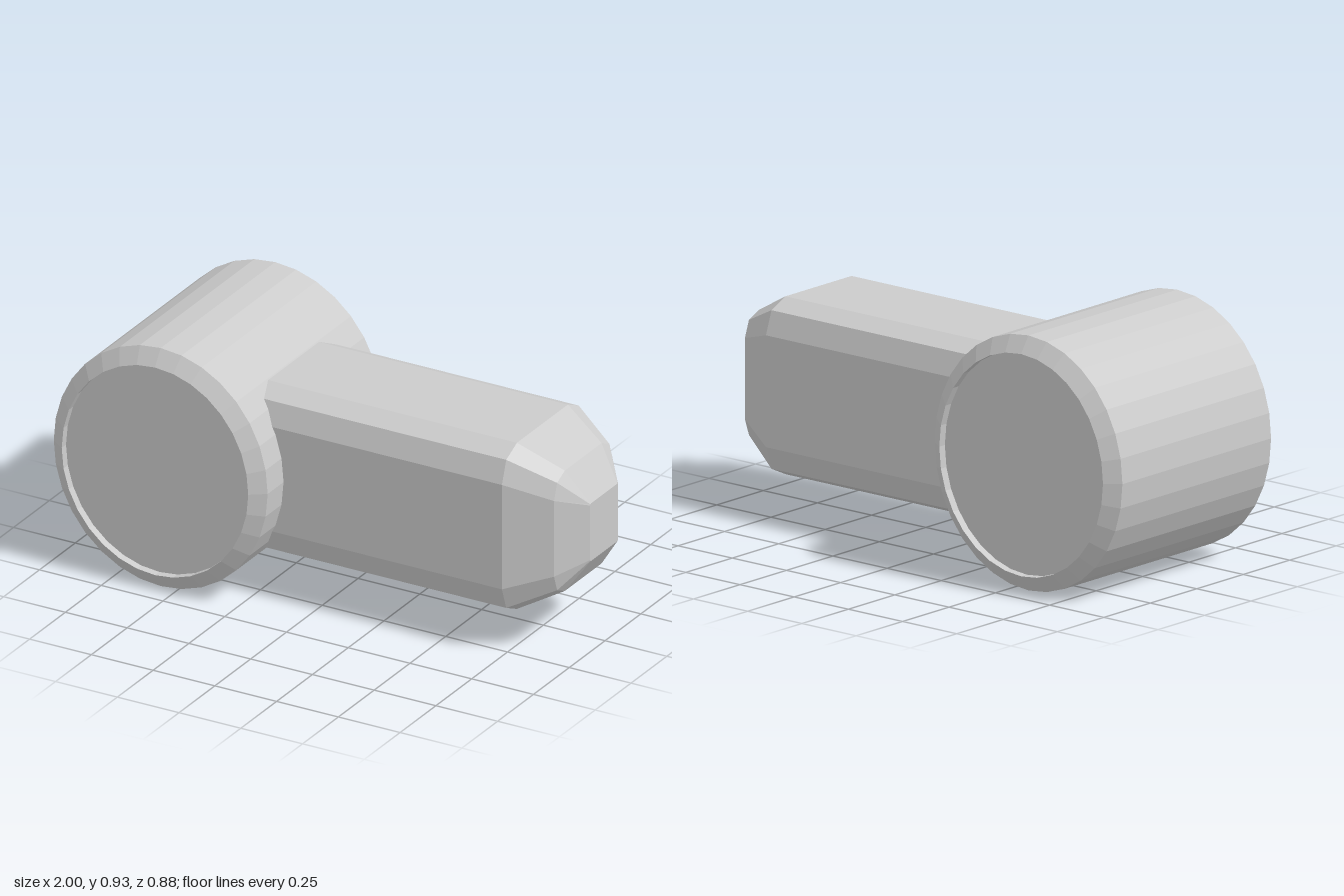
import * as THREE from 'three';

const material = new THREE.MeshStandardMaterial({ color: 0xcccccc, flatShading: true });

// Twelve-point rectangle with two-step corners, from three corner points [z, y], counterclockwise seen from +x
function ring(x, corner) {
  const back = [...corner].reverse();
  const points = [
    ...corner.map(([z, y]) => [z, y]),
    ...back.map(([z, y]) => [z, -y]),
    ...corner.map(([z, y]) => [-z, -y]),
    ...back.map(([z, y]) => [-z, y]),
  ];
  return points.map(([z, y]) => new THREE.Vector3(x, y, z));
}

// Closed loft through the rings, capped at both ends
function loft(rings) {
  const out = [];
  const tri = (...points) => points.forEach((p) => out.push(p.x, p.y, p.z));
  const n = rings[0].length;
  for (let j = 0; j < n; j++) {
    const k = (j + 1) % n;
    for (let i = 0; i < rings.length - 1; i++) {
      const [a, b, c, d] = [rings[i][j], rings[i][k], rings[i + 1][k], rings[i + 1][j]];
      tri(a, b, d);
      tri(b, c, d);
    }
    const first = rings[0], last = rings[rings.length - 1];
    tri(new THREE.Vector3(first[0].x, 0, 0), first[k], first[j]);
    tri(new THREE.Vector3(last[0].x, 0, 0), last[j], last[k]);
  }
  const geometry = new THREE.BufferGeometry();
  geometry.setAttribute('position', new THREE.Float32BufferAttribute(out, 3));
  geometry.computeVertexNormals();
  return geometry;
}

export function createModel() {
  const model = new THREE.Group();

  // Barrel lying along z, with bevelled rims and slightly sunken end faces
  const profile = [
    [0, -0.41], [0.872, -0.41], [0.872, -0.44], [1, -0.4],
    [1, 0.4], [0.872, 0.44], [0.872, 0.41], [0, 0.41],
  ].map(([r, h]) => new THREE.Vector2(r, h));
  const barrelGeometry = new THREE.LatheGeometry(profile, 32);
  barrelGeometry.rotateX(Math.PI / 2);
  barrelGeometry.scale(0.433, 0.463, 1);
  const barrel = new THREE.Mesh(barrelGeometry, material);
  barrel.name = 'barrel';
  barrel.position.set(-0.567, 0.467, 0);
  model.add(barrel);

  // Bevelled shank running along +x to a tapered tip
  const body = [[0.178, 0.323], [0.253, 0.288], [0.283, 0.203]];
  const taper = body.map(([z, y]) => [z * 0.72, y * 0.725]);
  const tip = [[0.092, 0.112], [0.096, 0.11], [0.098, 0.106]];
  const shank = new THREE.Mesh(
    loft([ring(-0.5, body), ring(0.75, body), ring(0.915, taper), ring(1, tip)]),
    material,
  );
  shank.name = 'shank';
  shank.position.set(0, 0.467, 0.006);
  model.add(shank);

  return model;
}
